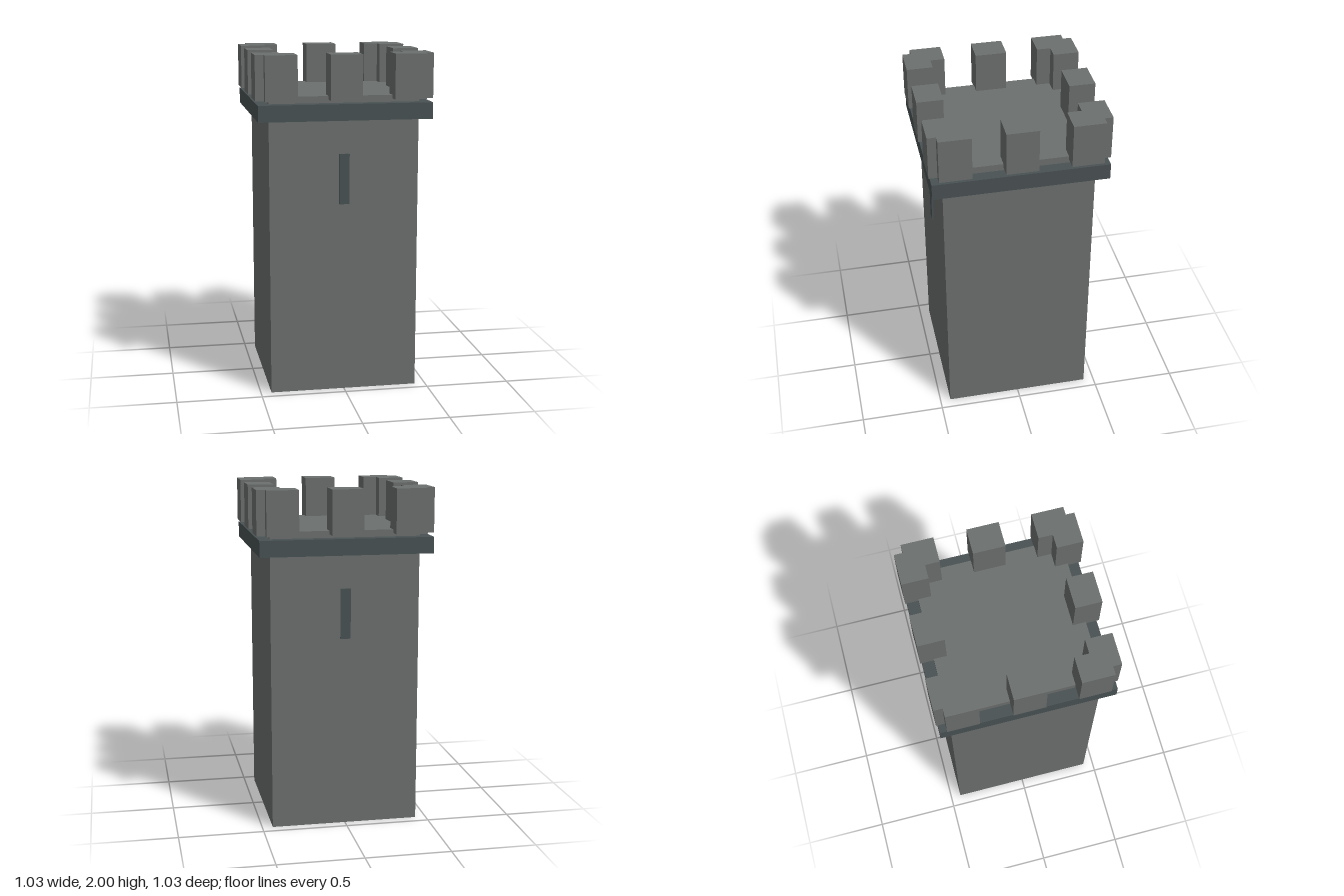
import * as THREE from 'three';

export function createModel() {
  const tower = new THREE.Group();
  tower.name = 'tower';
  const stone = new THREE.MeshStandardMaterial({ color: 0x6b6f6d });
  const darkStone = new THREE.MeshStandardMaterial({ color: 0x495153 });

  const add = (name, geometry, material) => {
    const mesh = new THREE.Mesh(geometry, material);
    mesh.name = name;
    tower.add(mesh);
    return mesh;
  };
  // Box spanning y0..y1, centred on x and z
  const box = (w, y0, y1, d) =>
    new THREE.BoxGeometry(w, y1 - y0, d).translate(0, (y0 + y1) / 2, 0);

  // Square shaft, rising through the collar to form the roof deck
  add('shaft', box(0.875, 0, 1.76, 0.875), stone);
  add('collar', box(1.01, 1.625, 1.72, 1.01), darkStone);

  // Arrow slits on the front and back walls
  for (const [name, side] of [['frontArrowSlit', 1], ['backArrowSlit', -1]]) {
    add(name, box(0.06, 1.13, 1.425, 0.04), darkStone).position.z = side * 0.427;
  }

  // Battlements: a middle merlon per side and a notched merlon per corner
  const base = 1.74, top = 2, half = 0.0925;
  const inner = 0.3625, outer = 0.515, near = 0.28, far = 0.465;
  const middle = box(half * 2, base, top, outer - inner)
    .translate(0, 0, (inner + outer) / 2);
  const outline = new THREE.Shape([
    [near, inner], [inner, inner], [inner, near], [outer, near],
    [outer, far], [far, far], [far, outer], [near, outer],
  ].map(([x, y]) => new THREE.Vector2(x, y)));
  const corner = new THREE.ExtrudeGeometry(outline, { depth: top - base, bevelEnabled: false })
    .rotateX(-Math.PI / 2)
    .translate(0, base, 0);
  for (let i = 0; i < 4; i++) {
    add('middleMerlon', middle, stone).rotation.y = i * Math.PI / 2;
    add('cornerMerlon', corner, stone).rotation.y = i * Math.PI / 2;
  }
  return tower;
}
